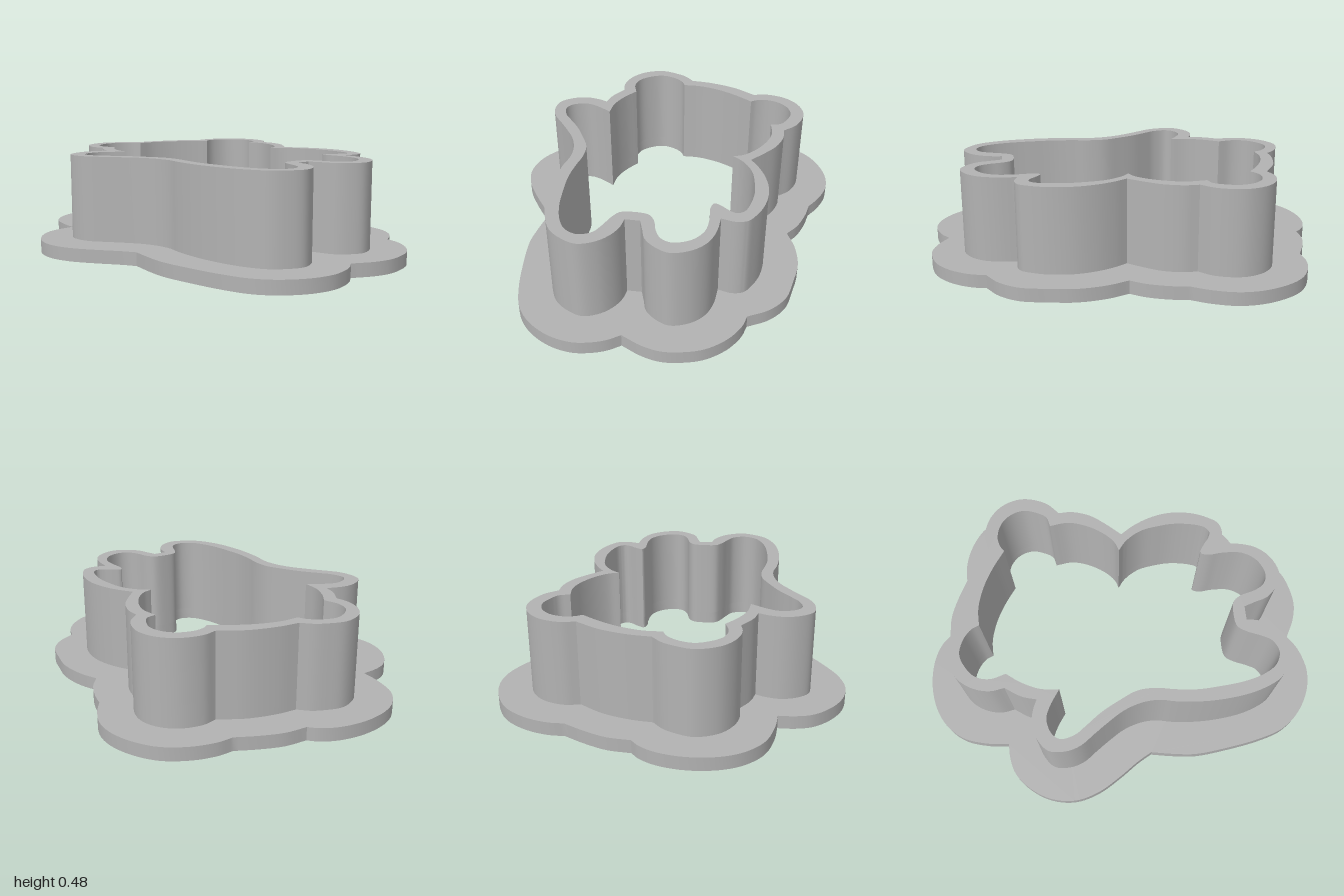
import * as THREE from 'three';
import { toCreasedNormals } from 'three/addons/utils/BufferGeometryUtils.js';

// Plan outlines (x, z in hundredths). Each row is a smooth run; rows meet at sharp corners.
const flangeEdge = [
  [-52,-61, -51,-71, -47,-84, -39,-93, -29,-98, -15,-100, -2,-98, 6,-94],
  [10,-90, 21,-89, 32,-85],
  [42,-80, 50,-80, 61,-77, 72,-70, 79,-60, 83,-48, 83,-37, 79,-26],
  [74,-18, 72,-9, 68,1],
  [63,8, 67,18, 69,32, 67,45, 64,57, 57,66],
  [47,72, 45,79, 39,88, 30,95, 21,98, 12,99, 3,97],
  [-7,92, -13,96, -20,98.5, -28,99.5, -39,97, -50,90, -57,81, -61,69, -64,53, -66,35, -65,24],
  [-63,12, -67,5, -74,-5, -81,-17, -84,-29, -82,-41, -76,-51, -68,-58, -60,-60.5],
];
const wallEdge = [
  [-34,-57, -35,-64, -33,-72, -28,-79, -21,-83, -15,-84, -8,-82, -2,-79],
  [3,-74, 13,-73, 27,-69],
  [39,-62, 46,-63.5, 56,-61, 63,-55, 66.5,-47, 66.5,-40, 63,-31],
  [57,-25, 57,-18, 54,-9, 49,-2],
  [42,6, 46,12, 50,21, 52,32, 50.5,44, 47,52, 44,56, 39,57.5],
  [32,56, 31,66, 28,74, 22,80, 13,83, 6,80, 1,75, -1,69],
  [-3,63],
  [-10,63, -11,69, -14,75, -19,80, -27,83, -35,80, -41,75, -45,67, -47.5,58, -49,45, -49,34,
    -48,24, -46.5,16, -47,8, -50,-1, -55,-9, -60,-16, -65,-23, -67,-30, -66,-38, -60,-43, -53,-45, -46,-44],
  [-41,-42, -39,-49],
];
const openingEdge = [
  [-27,-56, -29,-64, -27,-71, -21,-76, -15,-78, -8,-76, -3,-72],
  [-1,-68, 8,-68, 19,-65, 29,-60],
  [38,-54, 41,-56, 46,-57, 53,-55, 58,-50, 60,-43, 58,-36, 55,-31.5],
  [50,-30, 51,-21, 49,-13, 44,-4, 38,2],
  [33,4, 38,8, 43,16, 45,26, 45.5,34, 44,44, 42,49, 39,51, 36,50, 32,47, 28,45, 26.5,49,
    27,56, 26,66, 21,73, 13,76, 8,74, 5,69, 3,62, 0,58, -7,57, -13,58, -16,62, -19,69, -22,74,
    -28,76.5, -34,74, -38,68, -41,58, -42.5,45, -43,34, -42,24, -40.5,15, -41,6, -45,-3, -50,-12,
    -56,-20, -59.5,-25, -61,-32, -58,-36, -51,-38, -45,-36],
  [-37,-31, -36,-40, -32,-49],
];

// Turns the runs of an outline into one closed list of points
function trace(runs) {
  return runs.flatMap((run, i) => {
    const next = runs[(i + 1) % runs.length];
    const flat = [...run, next[0], next[1]];
    const points = [];
    for (let k = 0; k < flat.length; k += 2) {
      points.push(new THREE.Vector3(flat[k] / 100, flat[k + 1] / 100, 0));
    }
    if (points.length === 2) return [new THREE.Vector2(points[0].x, points[0].y)];
    const curve = new THREE.CatmullRomCurve3(points, false, 'centripetal');
    return curve.getPoints((points.length - 1) * 5).slice(0, -1)
      .map((p) => new THREE.Vector2(p.x, p.y));
  });
}

// Upright band between an outer outline and the central opening
function band(name, outline, bottom, top, material) {
  const shape = new THREE.Shape(trace(outline));
  shape.holes.push(new THREE.Path(trace(openingEdge)));
  const geometry = new THREE.ExtrudeGeometry(shape, { depth: top - bottom, bevelEnabled: false });
  geometry.rotateX(Math.PI / 2).translate(0, top, 0);
  const mesh = new THREE.Mesh(toCreasedNormals(geometry, 0.5), material);
  mesh.name = name;
  return mesh;
}

export function createModel() {
  const group = new THREE.Group();
  group.name = 'cookieCutter';
  const grey = new THREE.MeshStandardMaterial({ color: 0xb2b2b2 });
  grey.name = 'grey plastic';
  group.add(band('baseFlange', flangeEdge, 0, 0.065, grey));
  group.add(band('cutterWall', wallEdge, 0.065, 0.483, grey));
  return group;
}
